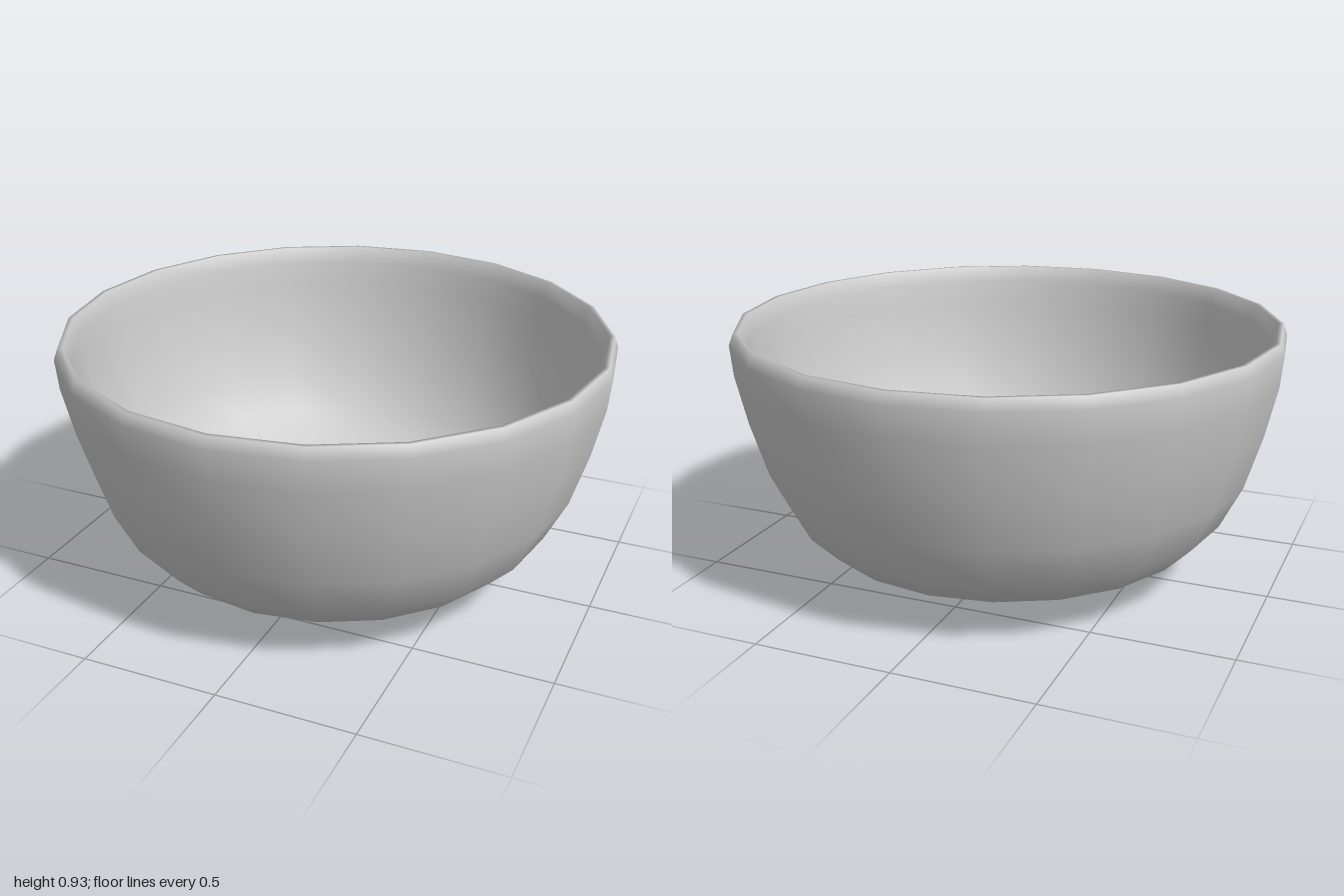
import * as THREE from 'three';

export function createModel() {
  const group = new THREE.Group();
  group.name = 'bowl';

  // Outer wall from the shallow pointed base up to the rim
  const outer = [
    [0, 0], [0.2, 0.02], [0.45, 0.055], [0.6, 0.09], [0.71, 0.14], [0.81, 0.24],
    [0.89, 0.4], [0.95, 0.6], [0.99, 0.78], [1, 0.89], [0.985, 0.93],
  ];
  // Inner wall from the rim back down to the middle of the floor
  const inner = [
    [0.968, 0.93], [0.948, 0.87], [0.938, 0.78], [0.905, 0.6], [0.848, 0.42], [0.77, 0.27],
    [0.68, 0.18], [0.58, 0.135], [0.44, 0.1], [0.2, 0.065], [0, 0.045],
  ];
  const profile = [...outer, ...inner].map(([r, y]) => new THREE.Vector2(r, y));

  // Twenty-sided turned shell with smooth shading
  const shell = new THREE.Mesh(
    new THREE.LatheGeometry(profile, 20),
    new THREE.MeshStandardMaterial({ color: 0xcccccc }),
  );
  shell.name = 'bowlShell';
  group.add(shell);
  return group;
}
